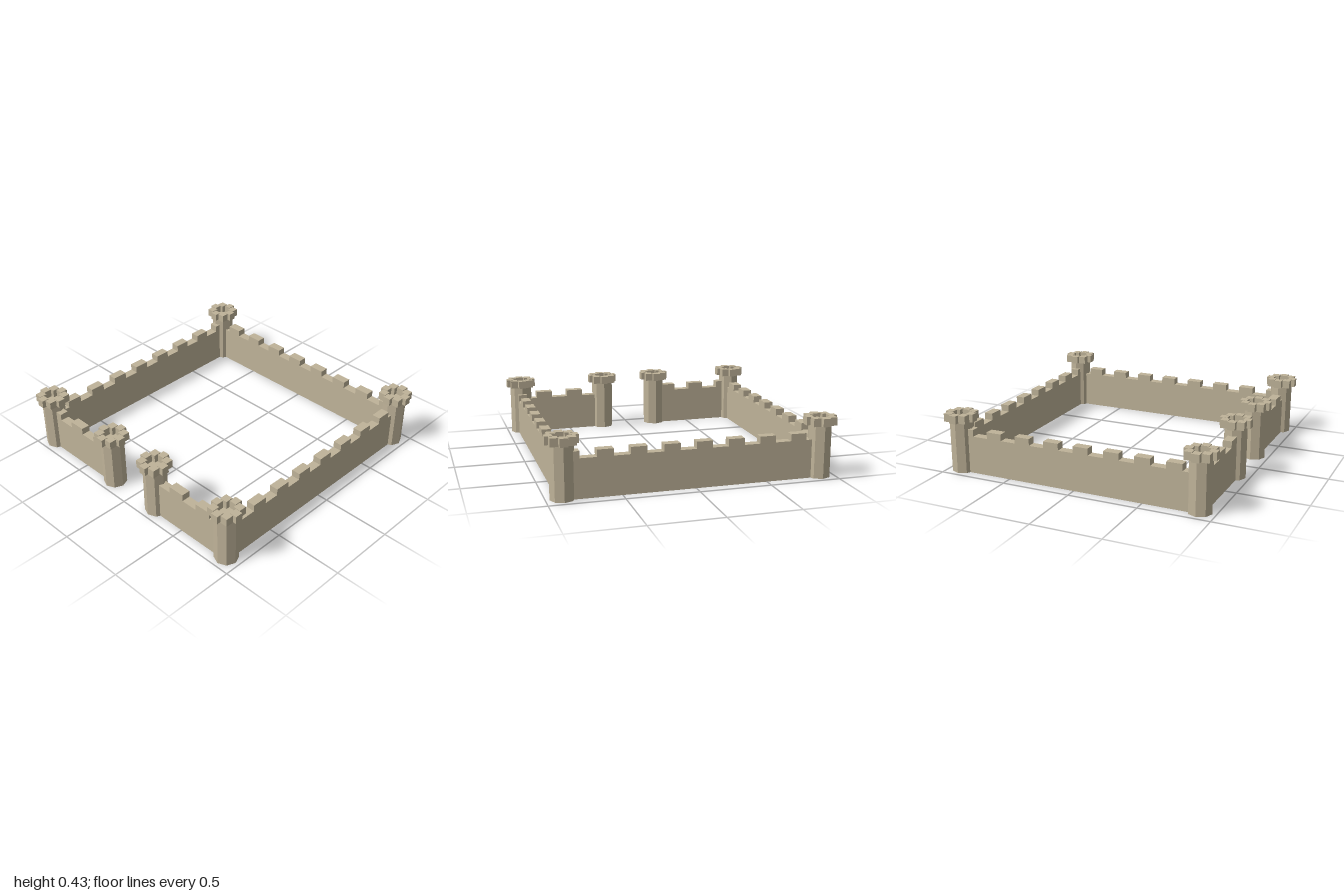
import * as THREE from 'three';

const C = 0.89;            // distance of tower and wall axes from the centre
const WALL_H = 0.27, WALL_TOP = 0.318, WALL_T = 0.064;
const TOWER_R = 0.083, TOWER_H = 0.37, BLOCK = 0.054;

const stone = new THREE.MeshStandardMaterial({ color: 0xbfb399 });
stone.name = 'sandstone';
const facetedStone = stone;

function mesh(geometry, name) {
  const m = new THREE.Mesh(geometry, facetedStone);
  m.name = name;
  return m;
}

// Octagonal tower with a ring of eight square blocks overhanging its rim
function tower(name, x, z) {
  const group = new THREE.Group();
  group.name = name;
  group.position.set(x, 0, z);

  const shaft = new THREE.CylinderGeometry(TOWER_R, TOWER_R, TOWER_H, 8).toNonIndexed();
  shaft.computeVertexNormals(); // flat facets
  const body = mesh(shaft, 'towerShaft');
  body.position.y = TOWER_H / 2;
  group.add(body);

  const block = new THREE.BoxGeometry(BLOCK, 0.057, BLOCK);
  for (let i = 0; i < 8; i++) {
    const a = i * Math.PI / 4;
    const merlon = mesh(block, 'towerMerlon');
    merlon.position.set(Math.cos(a) * TOWER_R, 0.3985, Math.sin(a) * TOWER_R);
    group.add(merlon);
  }
  return group;
}

// Crenellated wall from (x0, z0) to (x1, z1); 'first' is the first raised segment
function wall(name, x0, z0, x1, z1, segments, first) {
  const length = Math.hypot(x1 - x0, z1 - z0);
  const step = length / segments;
  const shape = new THREE.Shape();
  shape.moveTo(0, 0);
  shape.lineTo(length, 0);
  for (let i = segments - 1; i >= 0; i--) {
    const y = i % 2 === first ? WALL_TOP : WALL_H;
    shape.lineTo((i + 1) * step, y);
    shape.lineTo(i * step, y);
  }
  const geometry = new THREE.ExtrudeGeometry(shape, { depth: WALL_T, bevelEnabled: false });
  geometry.translate(0, 0, -WALL_T / 2);
  const m = mesh(geometry, name);
  m.position.set(x0, 0, z0);
  m.rotation.y = Math.atan2(-(z1 - z0), x1 - x0);
  return m;
}

export function createModel() {
  const model = new THREE.Group();
  model.name = 'castleWalls';

  // Corner and gate towers
  for (const [side, s] of [['left', 1], ['right', -1]]) {
    model.add(
      tower(side + 'FrontTower', s * C, C),
      tower(side + 'BackTower', s * C, -C),
      tower(side + 'GateTower', s * 0.22, C)
    );
  }

  // Curtain walls, with the gate opening in the middle of the front
  model.add(
    wall('backWall', C, -C, -C, -C, 16, 0),
    wall('leftWall', C, C, C, -C, 16, 0),
    wall('rightWall', -C, -C, -C, C, 16, 0),
    wall('rightFrontWall', -C, C, -0.273, C, 5, 0),
    wall('leftFrontWall', 0.273, C, C, C, 5, 1)
  );
  return model;
}
